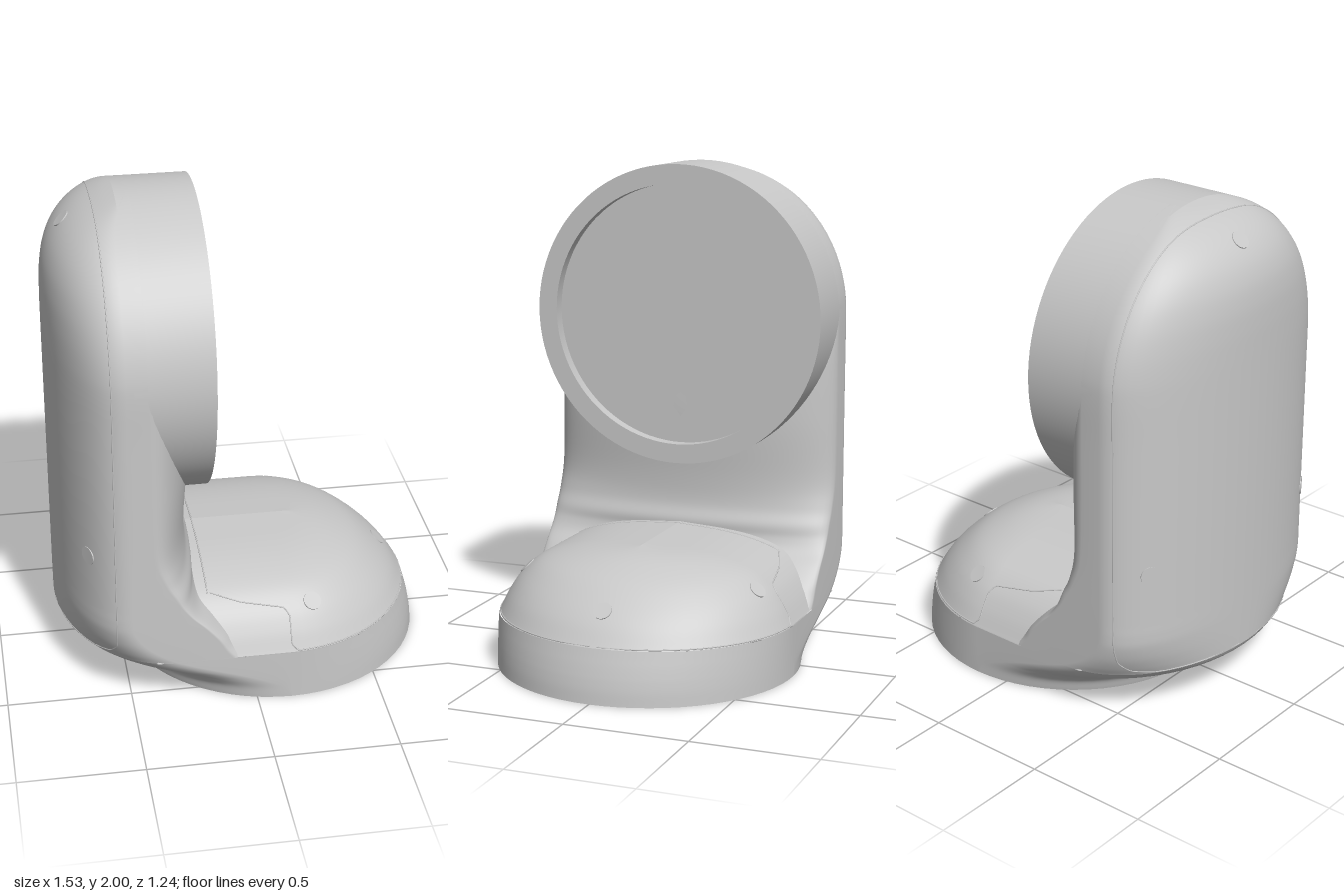
import * as THREE from 'three';
import { toCreasedNormals } from 'three/addons/utils/BufferGeometryUtils.js';

// Lofts horizontal sections upward. Each key is [y, halfWidth, backCentre, backDepth, frontCentre, frontDepth].
function loft(keys, steps = 6, half = 32) {
  const spline = new THREE.CubicInterpolant(keys.map((_, i) => i), keys.flat(), 6);
  const rows = (keys.length - 1) * steps, ring = 2 * (half + 1), pos = [], index = [];
  for (let j = 0; j <= rows; j++) {
    const [y, w, cb, db, cf, df] = spline.evaluate(j / steps);
    for (let i = 0; i < ring; i++) {
      const front = i <= half;
      const t = -Math.PI / 2 + Math.PI * (front ? i / half : 1 + (i - half - 1) / half);
      pos.push(front ? cf + df * Math.cos(t) : cb + db * Math.cos(t), y, Math.max(w, 0) * Math.sin(t));
    }
  }
  for (let j = 0; j < rows; j++) for (let i = 0; i < ring; i++) {
    const a = j * ring + i, b = j * ring + (i + 1) % ring;
    index.push(a, a + ring, b, b, a + ring, b + ring);
  }
  const g = new THREE.BufferGeometry();
  g.setAttribute('position', new THREE.Float32BufferAttribute(pos, 3));
  g.setIndex(index);
  g.computeVertexNormals();
  return g;
}

const lathe = (pts) => toCreasedNormals(
  new THREE.LatheGeometry(pts.map(([r, y]) => new THREE.Vector2(r, y)), 96), 0.6);

export function createModel() {
  const group = new THREE.Group();
  const grey = new THREE.MeshStandardMaterial({ color: 0xc8c8c8 });
  grey.name = 'housingGrey';
  const add = (name, geo) => {
    const m = new THREE.Mesh(geo, grey);
    m.name = name;
    group.add(m);
    return m;
  };

  // Foot: round at the floor, flaring back under the column
  add('foot', loft([
    [0, 0.62, 0.14, 0.62, 0.14, 0.62],
    [0.05, 0.62, 0.1, 0.6, 0.14, 0.615],
    [0.09, 0.62, 0.02, 0.57, 0.14, 0.608],
    [0.12, 0.62, -0.06, 0.55, 0.14, 0.601],
    [0.15, 0.62, -0.15, 0.55, 0.14, 0.593],
    [0.18, 0.62, -0.24, 0.505, 0.14, 0.584],
    [0.21, 0.62, -0.32, 0.445, 0.14, 0.575],
  ]));

  // Column: elbow fillet in front, rounded back, domed top
  const column = [
    [0.21, 0.62, -0.32, 0.445, -0.1, 0.15],
    [0.25, 0.62, -0.39, 0.375, -0.13, 0.12],
    [0.3, 0.62, -0.45, 0.315, -0.16, 0.1],
    [0.36, 0.62, -0.49, 0.275, -0.21, 0.08],
    [0.41, 0.62, -0.5, 0.265, -0.26, 0.07],
    [0.46, 0.62, -0.5, 0.265, -0.3, 0.09],
    [0.51, 0.62, -0.5, 0.265, -0.33, 0.12],
    [0.58, 0.62, -0.5, 0.265, -0.37, 0.14],
    [0.7, 0.62, -0.5, 0.265, -0.41, 0.18],
    [0.95, 0.62, -0.5, 0.265, -0.42, 0.21],
    [1.2, 0.62, -0.5, 0.265, -0.42, 0.2],
  ];
  for (let k = 0; k <= 10; k++) {
    const a = k / 10 * Math.PI / 2, s = Math.sin(a);
    column.push([1.38 + 0.62 * s, 0.62 * Math.cos(a), -0.5 + 0.08 * s ** 20, 0.265 * (1 - s ** 5), -0.42, 0.15 * Math.cos(a)]);
  }
  add('column', loft(column));

  // Domed cover over the foot
  add('footCover', loft([
    [0.21, 0.615, -0.4, 0.05, 0.14, 0.575],
    [0.29, 0.575, -0.4, 0.05, 0.14, 0.52],
    [0.36, 0.525, -0.4, 0.05, 0.14, 0.45],
    [0.42, 0.45, -0.4, 0.05, 0.14, 0.37],
    [0.46, 0.34, -0.4, 0.05, 0.14, 0.28],
    [0.485, 0.2, -0.4, 0.05, 0.14, 0.19],
    [0.5, 0, -0.4, 0.05, 0.14, 0.08],
  ]));

  // Round head with a recessed face
  const head = add('head', lathe([[0, 0.05], [0.54, 0.05], [0.54, 0], [0.62, 0], [0.62, 0.31]]));
  head.rotation.z = Math.PI / 2;
  head.position.set(-0.16, 1.38, 0);

  // Mounting ring with a recessed underside
  add('mountingRing', lathe([[0, 0.06], [0.47, 0.06], [0.47, 0], [0.62, 0]])).position.x = 0.14;

  // Finds the surface point and normal along a ray
  group.updateMatrixWorld(true);
  const solids = [...group.children];
  const snap = (o, d) => {
    const ray = new THREE.Raycaster(new THREE.Vector3(...o), new THREE.Vector3(...d).normalize());
    const hit = ray.intersectObjects(solids, false)[0];
    return hit && { point: hit.point, normal: hit.face.normal };
  };
  const seam = (name, rays) => {
    const pts = rays.map(([o, d]) => snap(o, d)).filter(Boolean).map((h) => h.point);
    if (pts.length < 2) return;
    const curve = new THREE.CatmullRomCurve3(pts, false, 'centripetal');
    add(name, new THREE.TubeGeometry(curve, pts.length * 3, 0.003, 6));
  };
  // Evenly spaced side rays along a path drawn in x and y
  const sideRays = (path, side, n) => {
    const line = new THREE.CurvePath();
    for (let i = 1; i < path.length; i++) {
      line.add(new THREE.LineCurve(new THREE.Vector2(...path[i - 1]), new THREE.Vector2(...path[i])));
    }
    return line.getSpacedPoints(n).map((p) => [[p.x, p.y, 2 * side], [0, 0, -side]]);
  };

  for (const side of [1, -1]) {
    // Back cover seam: along the bottom, up the side and over the top
    const back = sideRays([[-0.763, 0.215], [-0.64, 0.215], [-0.585, 0.235], [-0.56, 0.28], [-0.555, 1.38]], side, 50);
    for (let k = 1; k <= 24; k++) {
      const a = k / 24 * Math.PI / 2, c = Math.cos(a) * side, s = Math.sin(a);
      back.push([[-0.555, 1.38 + 2 * s, 2 * c], [0, -s, -c]]);
    }
    seam('backCoverSeam', back);
    // Foot cover seam: stepped side, then around the front
    seam('footCoverSeam', sideRays(
      [[-0.17, 0.42], [-0.05, 0.39], [0.12, 0.365], [0.14, 0.34], [0.14, 0.24], [0.165, 0.215], [0.711, 0.215]], side, 70));
  }
  // Foot cover seam across the elbow
  seam('footCoverRearSeam', Array.from({ length: 25 }, (_, i) => [[-0.18, 0.65, -0.456 + i * 0.038], [0, -1, 0]]));

  // Screw holes
  const down = [0, -1, 0];
  for (const [o, d] of [
    [[0.24, 2, 0.5], down], [[0.24, 2, -0.5], down], [[0.62, 2, 0], down], [[-0.67, 3, 0], down],
    [[-0.655, 0.675, 2], [0, 0, -1]], [[-0.655, 0.675, -2], [0, 0, 1]],
  ]) {
    const hit = snap(o, d);
    if (!hit) continue;
    const hole = add('screwHole', new THREE.CylinderGeometry(0.037, 0.037, 0.006, 28));
    hole.position.copy(hit.point);
    hole.quaternion.setFromUnitVectors(new THREE.Vector3(0, 1, 0), hit.normal);
  }
  return group;
}
